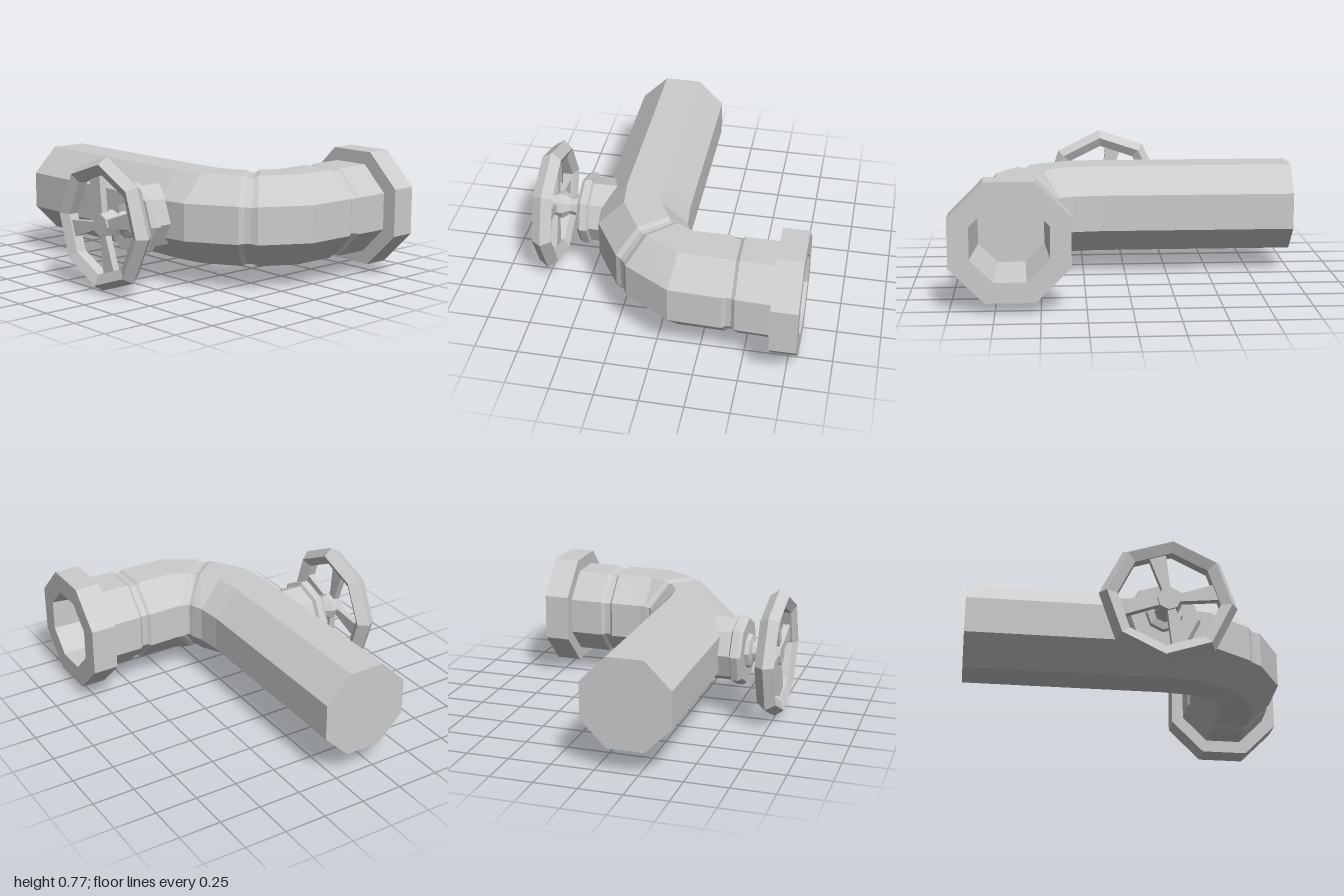
import * as THREE from 'three';

const SIDES = 8;
const PIPE_Y = 0.392;
const PIPE_R = 0.2575 / Math.cos(Math.PI / SIDES);
const rad = THREE.MathUtils.degToRad;
const material = new THREE.MeshStandardMaterial({ color: 0xcccccc, flatShading: true });

function part(name, geometry, parent) {
  const mesh = new THREE.Mesh(geometry, material);
  mesh.name = name;
  parent.add(mesh);
  return mesh;
}

// Octagonal turned part; the profile is [radius, distance along axis]
function turned(profile, startDegrees) {
  const points = profile.map(([r, d]) => new THREE.Vector2(r, d));
  const geometry = new THREE.LatheGeometry(points, SIDES, rad(startDegrees)).toNonIndexed();
  geometry.computeVertexNormals();
  return geometry;
}

// Bent pipe lofted through octagons, each set by its inside and outside of the bend
function pipeGeometry(sections) {
  const positions = [];
  const index = [];
  for (const [xi, zi, xo, zo, scale = 1] of sections) {
    for (let k = 0; k < SIDES; k++) {
      const a = ((k + 0.5) / SIDES) * Math.PI * 2;
      const t = 0.5 + (0.5 * scale * Math.cos(a)) / Math.cos(Math.PI / SIDES);
      positions.push(xi + (xo - xi) * t, PIPE_Y + PIPE_R * scale * Math.sin(a), zi + (zo - zi) * t);
    }
  }
  for (let i = 0; i < sections.length - 1; i++) {
    for (let k = 0; k < SIDES; k++) {
      const a = i * SIDES + k;
      const b = i * SIDES + ((k + 1) % SIDES);
      index.push(a, a + SIDES, b, b, a + SIDES, b + SIDES);
    }
  }
  // closed far end
  for (let k = 1; k < SIDES - 1; k++) index.push(0, k, k + 1);
  const geometry = new THREE.BufferGeometry();
  geometry.setAttribute('position', new THREE.Float32BufferAttribute(positions, 3));
  geometry.setIndex(index);
  const flat = geometry.toNonIndexed();
  flat.computeVertexNormals();
  return flat;
}

export function createModel() {
  const model = new THREE.Group();
  model.name = 'pipeWithValve';

  // Elbow pipe with a seam groove in the bend and another before the flange
  part('elbowPipe', pipeGeometry([
    [-1, -0.08, -1, 0.435],
    [0.15, -0.08, 0.2, 0.432],
    [0.3, -0.095, 0.39, 0.41],
    [0.365, -0.12, 0.655, 0.247],
    [0.38, -0.135, 0.68, 0.225, 0.95],
    [0.39, -0.15, 0.71, 0.2, 0.95],
    [0.4, -0.17, 0.735, 0.175],
    [0.405, -0.2, 0.895, -0.09],
    [0.4, -0.39, 0.905, -0.39],
    [0.4, -0.405, 0.905, -0.41, 0.94],
    [0.4, -0.44, 0.907, -0.44, 0.94],
    [0.4, -0.46, 0.907, -0.46],
    [0.402, -0.665, 0.915, -0.665],
  ]), model);

  // End flange with a tapering blind bore
  const flange = part('endFlange', turned(
    [[0.24, 0.66], [0.36, 0.66], [0.36, 0.81], [0.235, 0.81], [0.2, 0.48], [0, 0.48]], 22.5), model);
  flange.rotation.x = -Math.PI / 2;
  flange.position.set(0.665, PIPE_Y, 0);

  // Valve, its axis along z
  const valve = new THREE.Group();
  valve.name = 'valve';
  valve.position.set(0.102, 0.383, 0);
  model.add(valve);

  // Bonnet and stem
  const bonnet = part('bonnetAndStem', turned([
    [0.19, 0.36], [0.19, 0.5], [0.212, 0.51], [0.212, 0.55], [0.195, 0.57],
    [0.105, 0.57], [0.1, 0.595], [0.06, 0.605], [0.052, 0.65], [0.08, 0.69], [0.08, 0.72],
  ], 41), valve);
  bonnet.rotation.x = Math.PI / 2;

  // Handwheel: rim, hub and four spokes widening outwards
  const wheel = new THREE.Group();
  wheel.name = 'handwheel';
  valve.add(wheel);

  const rim = part('rim', turned([
    [0.285, 0.715], [0.34, 0.688], [0.384, 0.743], [0.345, 0.8], [0.285, 0.775], [0.285, 0.715],
  ], 41), wheel);
  rim.rotation.x = Math.PI / 2;

  const hub = part('hub', turned([[0, 0.7], [0.075, 0.7], [0.065, 0.775], [0, 0.775]], 41), wheel);
  hub.rotation.x = Math.PI / 2;

  const outline = new THREE.Shape([[0.04, -0.02], [0.3, -0.052], [0.3, 0.052], [0.04, 0.02]]
    .map(([x, y]) => new THREE.Vector2(x, y)));
  const spokeGeometry = new THREE.ExtrudeGeometry(outline, { depth: 0.04, bevelEnabled: false });
  for (let i = 0; i < 4; i++) {
    const spoke = part('spoke', spokeGeometry, wheel);
    spoke.position.z = 0.725;
    spoke.rotation.z = rad(103 + i * 90);
  }
  return model;
}
